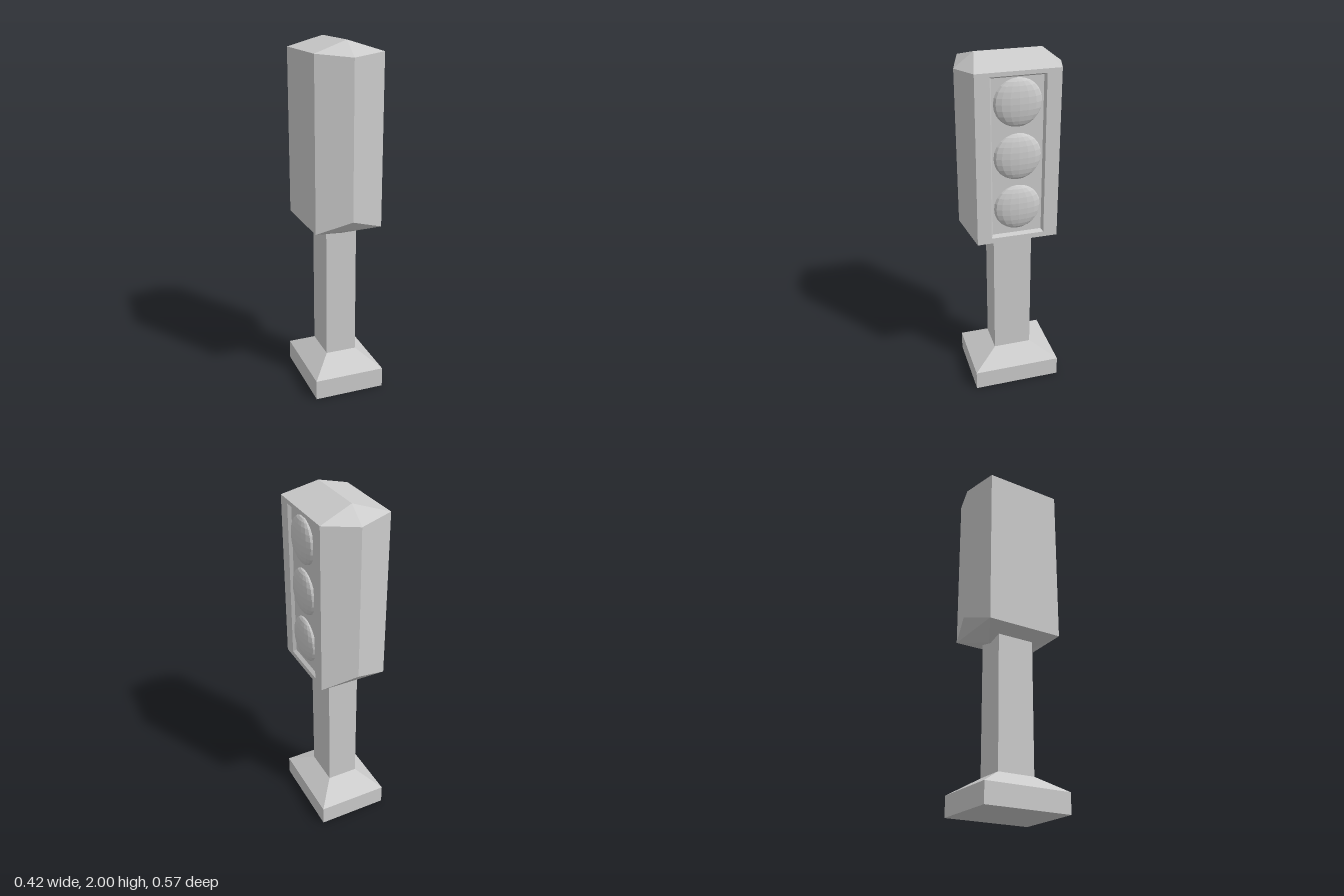
import * as THREE from 'three';

const material = new THREE.MeshStandardMaterial({ color: 0xcccccc, flatShading: true });

// Flat-faced geometry from polygons; each is turned to face away from the centre, or along a given direction
function facets(polygons, centre) {
  const out = [];
  for (const { pts, dir } of polygons) {
    const v = pts.map((p) => new THREE.Vector3(...p));
    for (let i = 1; i < v.length - 1; i++) {
      const [a, b, c] = [v[0], v[i], v[i + 1]];
      const n = b.clone().sub(a).cross(c.clone().sub(a));
      const hint = dir ? new THREE.Vector3(...dir) : a.clone().add(b).add(c).divideScalar(3).sub(centre);
      for (const p of n.dot(hint) < 0 ? [a, c, b] : [a, b, c]) out.push(p.x, p.y, p.z);
    }
  }
  const g = new THREE.BufferGeometry();
  g.setAttribute('position', new THREE.Float32BufferAttribute(out, 3));
  g.computeVertexNormals();
  return g;
}

function housingGeometry() {
  const W = 0.1915, Z = 0.225, inner = 0.14, outer = 0.285;
  const low = 0.995, high = 1.94;
  const polys = [];
  const add = (pts, dir) => polys.push({ pts, dir });

  for (const sx of [-1, 1]) {
    const x = sx * W;
    // Roof and underside slopes meeting at the ridges
    add([[x, high, -inner], [x, high, inner], [0, 2, 0.18], [0, 2, -0.18]]);
    add([[x, low, -inner], [x, low, inner], [0, 0.947, 0.12], [0, 0.947, -0.12]]);
    for (const s of [-1, 1]) {
      // Pointed front and back walls
      add([[x, low, s * Z], [x, high, s * Z], [0, 1.92, s * outer], [0, 1.06, s * outer]]);
      // Sloped ends of the roof and underside
      add([[0, 2, s * 0.18], [x, high, s * inner], [x, high, s * Z], [0, 1.92, s * outer]]);
      add([[x, low, s * Z], [x, low, s * inner], [0, 0.947, s * 0.12]]);
      add([[x, low, s * Z], [0, low, s * Z], [0, 0.947, s * 0.12]]);
      add([[x, low, s * Z], [0, low, s * Z], [0, 1.06, s * outer]]);
    }
  }

  // Plain side
  add([[-W, low, -Z], [-W, low, Z], [-W, high, Z], [-W, high, -Z]]);

  // Lamp side: rim, bevelled step and recessed panel
  const rect = (x, z, y0, y1) => [[x, y0, -z], [x, y0, z], [x, y1, z], [x, y1, -z]];
  const rings = [rect(W, Z, low, high), rect(W, 0.147, 1.025, 1.918), rect(W - 0.017, 0.136, 1.04, 1.908)];
  for (let r = 0; r < 2; r++) {
    for (let i = 0; i < 4; i++) {
      const j = (i + 1) % 4;
      add([rings[r][i], rings[r][j], rings[r + 1][j], rings[r + 1][i]], [1, 0, 0]);
    }
  }
  add(rings[2], [1, 0, 0]);
  return facets(polys, new THREE.Vector3(0, 1.47, 0));
}

export function createModel() {
  const model = new THREE.Group();
  model.name = 'trafficLight';
  const body = new THREE.Group();
  body.name = 'body';
  body.position.x = -0.0055;
  model.add(body);

  const part = (name, geometry, x = 0, y = 0, z = 0) => {
    const mesh = new THREE.Mesh(geometry, material);
    mesh.name = name;
    mesh.position.set(x, y, z);
    body.add(mesh);
    return mesh;
  };

  // Base slab with a sloped shoulder
  part('baseSlab', new THREE.BoxGeometry(0.41, 0.115, 0.51), 0, 0.0575, 0);
  const shoulder = new THREE.BoxGeometry(0.41, 0.085, 0.51);
  const p = shoulder.attributes.position;
  for (let i = 0; i < p.count; i++) {
    if (p.getY(i) > 0) {
      p.setX(i, Math.sign(p.getX(i)) * 0.0895);
      p.setZ(i, Math.sign(p.getZ(i)) * 0.11);
    }
  }
  shoulder.computeVertexNormals();
  part('baseShoulder', shoulder, 0, 0.1575, 0);

  // Post
  part('post', new THREE.BoxGeometry(0.179, 0.83, 0.22), 0, 0.6, 0);

  // Lamp housing
  part('housing', housingGeometry());

  // Three shallow domed lenses
  ['topLens', 'middleLens', 'bottomLens'].forEach((name, i) => {
    const lens = new THREE.SphereGeometry(1, 16, 12);
    lens.scale(0.039, 0.128, 0.128);
    part(name, lens, 0.1745, 1.776 - i * 0.291, 0);
  });

  return model;
}
